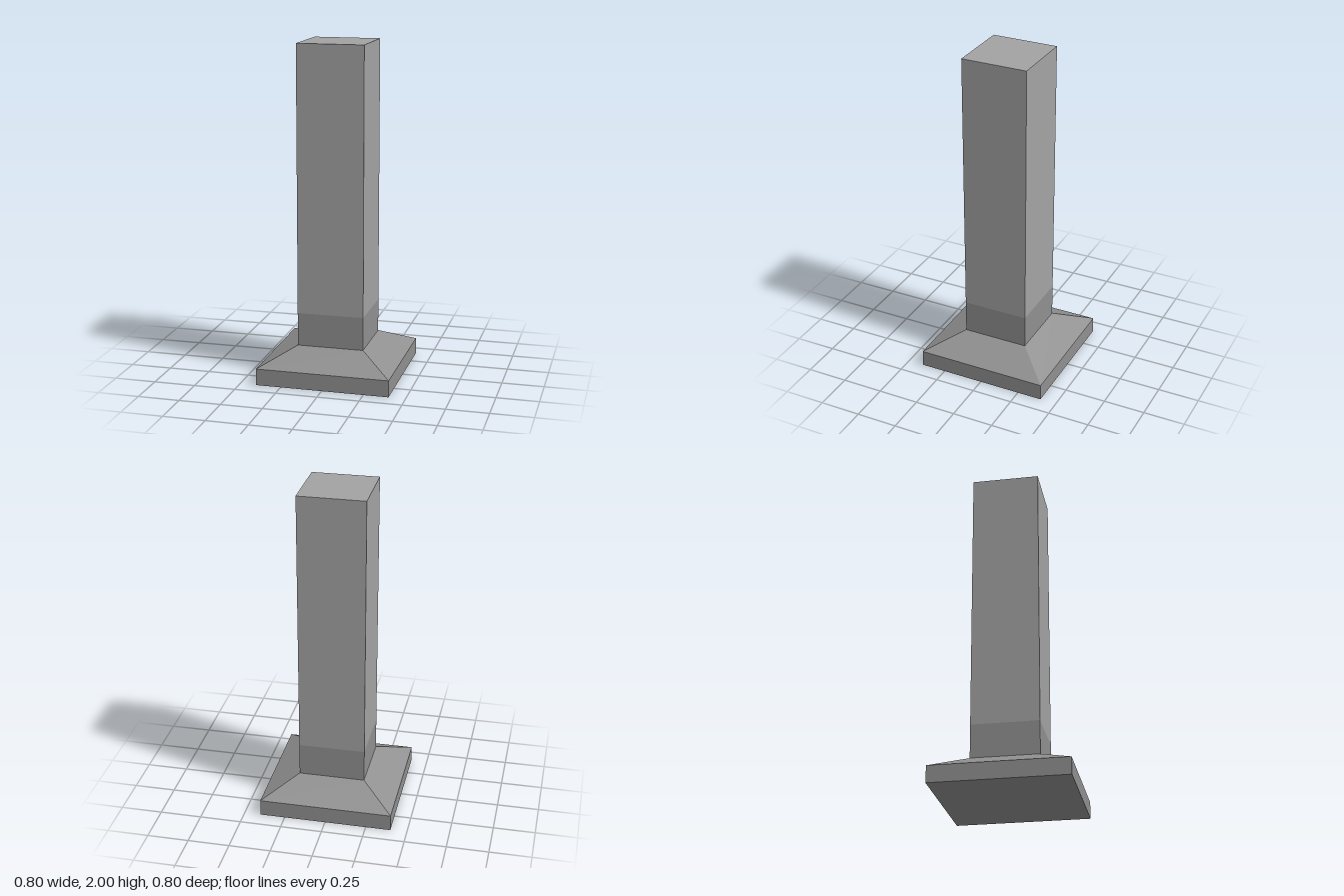
import * as THREE from 'three';

// Square prism or frustum between two heights, given its half-widths
function squareSection(name, material, y0, y1, halfBottom, halfTop, open = false) {
  const geometry = new THREE.CylinderGeometry(
    halfTop * Math.SQRT2, halfBottom * Math.SQRT2, y1 - y0, 4, 1, open);
  geometry.rotateY(Math.PI / 4);
  geometry.translate(0, (y0 + y1) / 2, 0);
  const mesh = new THREE.Mesh(geometry, material);
  mesh.name = name;
  return mesh;
}

export function createModel() {
  const shaftMaterial = new THREE.MeshStandardMaterial({ color: 0xa3a3a3, flatShading: true });
  const baseMaterial = new THREE.MeshStandardMaterial({ color: 0x909090, flatShading: true });

  const model = new THREE.Group();
  model.name = 'pillar';

  // Darker foot: flat plinth, sloped shoulder and the collar around the shaft
  const base = new THREE.Group();
  base.name = 'base';
  base.add(
    squareSection('plinth', baseMaterial, 0, 0.1, 0.4, 0.4),
    squareSection('slopedShoulder', baseMaterial, 0.1, 0.2, 0.4, 0.2, true),
    squareSection('collar', baseMaterial, 0.2, 0.4, 0.2, 0.2, true),
  );

  // Plain square shaft
  model.add(base, squareSection('shaft', shaftMaterial, 0.4, 2, 0.2, 0.2));
  return model;
}
